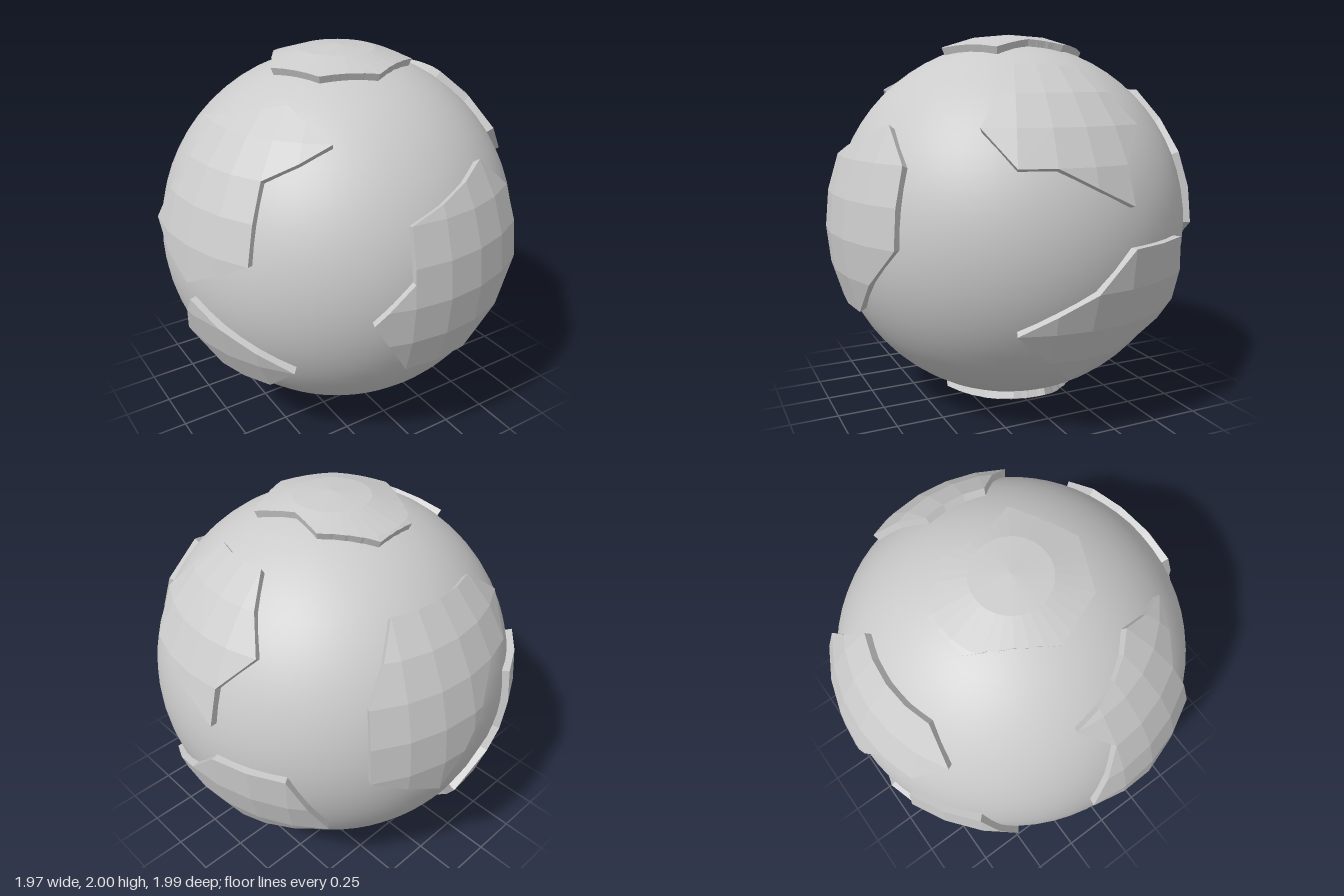
import * as THREE from 'three';

// Surface coordinates: one unit of column (longitude) or row (latitude) is 11.25 degrees.
// Column 0 faces +z, column 8 faces +x; row 0 is the equator, row 8 the top pole.
const STEP = Math.PI / 16;
const CORE_RADIUS = 0.96;
const PLATE_FOOT = 0.95;

const onSphere = (c, r) => new THREE.Vector3(
  Math.cos(r * STEP) * Math.sin(c * STEP), Math.sin(r * STEP), Math.cos(r * STEP) * Math.cos(c * STEP));

// Point on the faceted 32 x 16 shell
function onShell(c, r) {
  const i = Math.floor(c), j = Math.floor(r), u = c - i, v = r - j;
  const low = onSphere(i, j).lerp(onSphere(i + 1, j), u);
  return low.lerp(onSphere(i, j + 1).lerp(onSphere(i + 1, j + 1), u), v);
}

// Keep the part of a polygon where sign * (axis value - limit) >= 0
function clip(poly, axis, limit, sign) {
  const out = [];
  poly.forEach((a, k) => {
    const b = poly[(k + 1) % poly.length];
    const da = sign * (a[axis] - limit), db = sign * (b[axis] - limit);
    if (da >= 0) out.push(a);
    if ((da > 0 && db < 0) || (da < 0 && db > 0)) {
      const p = a.clone().lerp(b, da / (da - db));
      p[axis] = limit;
      out.push(p);
    }
  });
  return out;
}

// Raised plate: faceted top cut along the outline, plus walls down into the core
function plateGeometry(points) {
  const poly = points.map(([c, r]) => new THREE.Vector2(c, r));
  if (THREE.ShapeUtils.isClockWise(poly)) poly.reverse();
  const pos = [];
  const tri = (a, b, c) => [a, b, c].forEach((p) => pos.push(p.x, p.y, p.z));

  const box = new THREE.Box2().setFromPoints(poly);
  for (let i = Math.floor(box.min.x); i < box.max.x; i++) {
    for (let j = Math.floor(box.min.y); j < box.max.y; j++) {
      let cell = clip(clip(poly, 'x', i, 1), 'x', i + 1, -1);
      cell = clip(clip(cell, 'y', j, 1), 'y', j + 1, -1);
      cell = cell.filter((p, k) => p.distanceTo(cell[(k + 1) % cell.length]) > 1e-6);
      if (cell.length < 3) continue;
      for (const f of THREE.ShapeUtils.triangulateShape(cell, [])) {
        const t = f.map((k) => cell[k]);
        const area = THREE.ShapeUtils.area(t);
        if (Math.abs(area) < 1e-7) continue;
        if (area < 0) t.reverse();
        const [a, b, c] = t.map((p) => onShell(p.x, p.y));
        tri(a, b, c);
      }
    }
  }

  // Walls, split wherever the outline crosses a facet edge
  poly.forEach((a, k) => {
    const b = poly[(k + 1) % poly.length];
    if (Math.abs(a.y) === 8 || Math.abs(b.y) === 8) return;
    const cuts = [0, 1];
    for (const axis of ['x', 'y']) {
      const lo = Math.min(a[axis], b[axis]), hi = Math.max(a[axis], b[axis]);
      for (let n = Math.floor(lo) + 1; n < hi; n++) cuts.push((n - a[axis]) / (b[axis] - a[axis]));
    }
    cuts.sort((m, n) => m - n);
    for (let n = 1; n < cuts.length; n++) {
      if (cuts[n] - cuts[n - 1] < 1e-6) continue;
      const [p, q] = [cuts[n - 1], cuts[n]].map((t) => a.clone().lerp(b, t)).map((s) => onShell(s.x, s.y));
      const pl = p.clone().multiplyScalar(PLATE_FOOT), ql = q.clone().multiplyScalar(PLATE_FOOT);
      tri(p, pl, ql);
      tri(p, ql, q);
    }
  });

  const geo = new THREE.BufferGeometry();
  geo.setAttribute('position', new THREE.Float32BufferAttribute(pos, 3));
  geo.computeVertexNormals();
  return geo;
}

// Outline around a pole: straight sides in plan, closed through the pole
function capOutline(points, pole) {
  const out = [];
  const sides = 4;
  points.forEach(([c0, r0], k) => {
    const last = k === points.length - 1;
    const [c1, r1] = last ? [points[0][0] + 32, points[0][1]] : points[k + 1];
    const a = onSphere(c0, r0), b = onSphere(c1, r1);
    for (let s = 0; s < sides; s++) {
      const x = a.x + (b.x - a.x) * s / sides, z = a.z + (b.z - a.z) * s / sides;
      let c = Math.atan2(x, z) / STEP;
      while (c < c0 - 1e-6) c += 32;
      out.push([c, Math.sign(pole) * Math.acos(Math.hypot(x, z)) / STEP]);
    }
  });
  const start = points[0][0];
  out.push([start + 32, points[0][1]], [start + 32, pole], [start, pole]);
  return out;
}

const PLATES = {
  frontPlate: [[-2, -0.33], [-1, 0.62], [-1, 2], [2, 3], [3, 2], [3, 0], [1, -2], [-1, -2]],
  upperLeftPlate: [[6, 5], [9, 5], [10, 3], [9, 2], [9, 1], [7, 2], [6, 2], [5, 3]],
  lowerLeftPlate: [[6, -2], [8, -1], [9, 0], [11, 0], [12, -2], [9, -3], [8, -4]],
  upperRightPlate: [[-5, 5], [-3, 4], [-5, 3], [-5, 1], [-7, 0], [-9, 1], [-8, 3], [-9, 4]],
  lowerRightPlate: [[-4, -2], [-7, -0.5], [-8, -2], [-7, -3], [-5, -3]],
  upperBackPlate: [[-13, 3], [-14, 4], [-18, 4], [-19, 2], [-19, 0], [-17, -1], [-15, 2], [-14, 2]],
  lowerBackPlate: [[-14, 1], [-12, 1], [-11, -1], [-13, -2], [-13, -3], [-15, -4], [-16, -2], [-15, -1], [-14, -1]],
  topPlate: capOutline([[0, 6], [5, 6], [8, 6.75], [11, 6.27], [15, 5.83], [18, 5.83], [24, 6], [28, 6]], 8),
  bottomPlate: capOutline([[1, -5.8], [6.1, -5.7], [8.2, -5.7], [13, -6], [14, -5], [16.8, -5.85],
    [22, -6.5], [24, -5.8], [28.5, -6]], -8),
};

export function createModel() {
  const group = new THREE.Group();
  group.name = 'platedBall';

  // Smooth core ball
  const core = new THREE.Mesh(
    new THREE.SphereGeometry(CORE_RADIUS, 64, 32),
    new THREE.MeshStandardMaterial({ color: 0xcccccc }));
  core.name = 'coreBall';
  core.position.y = 1;
  group.add(core);

  // Faceted plates standing proud of the core
  const plateMaterial = new THREE.MeshStandardMaterial({ color: 0xcccccc, flatShading: true });
  for (const [name, outline] of Object.entries(PLATES)) {
    const plate = new THREE.Mesh(plateGeometry(outline), plateMaterial);
    plate.name = name;
    plate.position.y = 1;
    group.add(plate);
  }
  return group;
}
